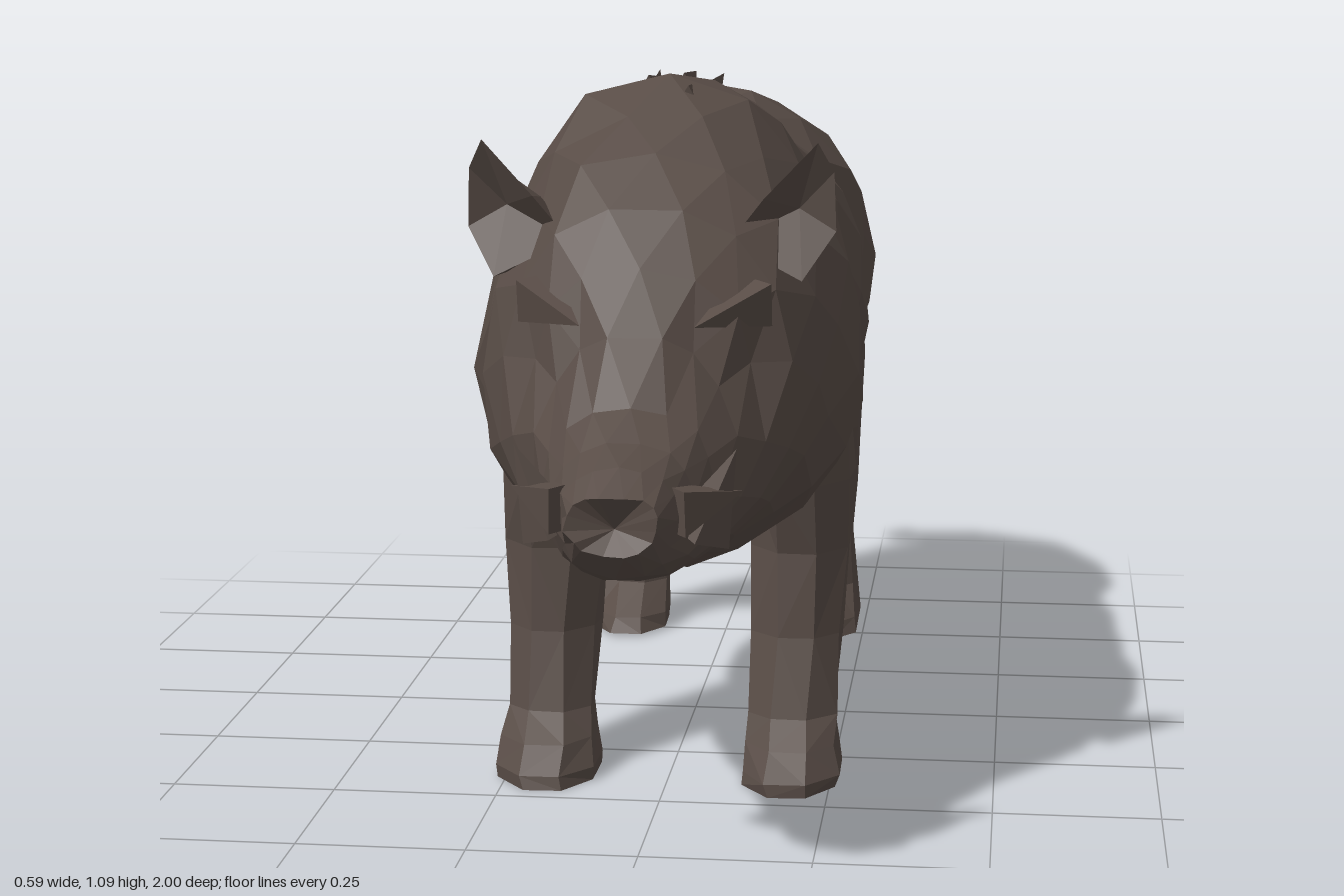
import * as THREE from 'three';

const hide = new THREE.MeshStandardMaterial({ color: 0x584c46 });
hide.name = 'dark brown hide';

let seed = 7;
const rand = () => ((seed = (seed * 16807) % 2147483647) / 2147483647) * 2 - 1;
const V = (x, y, z) => new THREE.Vector3(x, y, z);

// Flat-faceted solid from triangles; winding is turned outward by signed volume
function solid(tris) {
  let volume = 0;
  for (const [a, b, c] of tris) volume += a.dot(b.clone().cross(c));
  const points = tris.flatMap(([a, b, c]) => (volume < 0 ? [a, c, b] : [a, b, c]));
  const geometry = new THREE.BufferGeometry().setFromPoints(points);
  geometry.computeVertexNormals();
  return geometry;
}

// Skin over rings of points, closed at both ends; dent pushes the last cap centre
function loft(rings, dent = V(0, 0, 0)) {
  const tris = [];
  const n = rings[0].length;
  for (let r = 0; r + 1 < rings.length; r++) {
    for (let i = 0; i < n; i++) {
      const j = (i + 1) % n;
      const a = rings[r][i], b = rings[r][j], c = rings[r + 1][j], d = rings[r + 1][i];
      if (r % 2) tris.push([a, b, c], [a, c, d]);
      else tris.push([a, b, d], [b, c, d]);
    }
  }
  const cap = (ring, flip, offset) => {
    const mid = ring.reduce((s, p) => s.add(p), V(0, 0, 0)).divideScalar(n).add(offset);
    ring.forEach((p, i) => {
      const q = ring[(i + 1) % n];
      tris.push(flip ? [mid, q, p] : [mid, p, q]);
    });
  };
  cap(rings[0], true, V(0, 0, 0));
  cap(rings[rings.length - 1], false, dent);
  return solid(tris);
}

function add(parent, name, geometry) {
  const mesh = new THREE.Mesh(geometry, hide);
  mesh.name = name;
  parent.add(mesh);
  return mesh;
}

// Body sections: z, bottom, top, half width, height of widest point
const BODY = [
  [-0.82, 0.68, 0.79, 0.04, 0.74], [-0.77, 0.57, 0.86, 0.095, 0.72],
  [-0.67, 0.49, 0.925, 0.2, 0.71], [-0.57, 0.45, 0.965, 0.245, 0.7],
  [-0.47, 0.42, 0.995, 0.27, 0.7], [-0.37, 0.395, 1.0, 0.26, 0.69],
  [-0.26, 0.365, 0.985, 0.243, 0.67], [-0.15, 0.335, 0.99, 0.262, 0.66],
  [-0.04, 0.315, 1.02, 0.283, 0.65], [0.07, 0.312, 1.042, 0.272, 0.64],
  [0.18, 0.318, 1.06, 0.267, 0.64], [0.28, 0.33, 1.075, 0.283, 0.64],
  [0.38, 0.345, 1.085, 0.29, 0.64], [0.48, 0.355, 1.04, 0.264, 0.65],
  [0.57, 0.39, 0.99, 0.25, 0.66],
];
// Head sections, in the same order of values
const HEAD = [
  [0.64, 0.415, 0.92, 0.212, 0.63], [0.7, 0.42, 0.84, 0.18, 0.6],
  [0.76, 0.42, 0.755, 0.148, 0.57], [0.82, 0.425, 0.665, 0.12, 0.55],
  [0.885, 0.437, 0.63, 0.1, 0.54], [0.95, 0.458, 0.61, 0.078, 0.54],
  [1.0, 0.5, 0.58, 0.063, 0.545],
];

function ringPoint([z, low, high, half, mid], t, power, rough) {
  const soft = (v) => Math.sign(v) * Math.abs(v) ** power;
  const s = soft(Math.sin(t));
  const p = V(half * soft(Math.cos(t)), mid + s * (s > 0 ? high - mid : mid - low), z);
  return p.add(V(rand() * rough, rand() * rough * 0.4, rand() * rough * 1.5));
}

// Every other ring is turned by half a step to make even triangles
function bodyGeometry() {
  const sides = 16;
  const angle = (i, r) => ((i + (r % 2) / 2) / sides) * Math.PI * 2 + Math.PI / 2;
  const rings = [...BODY, ...HEAD].map((section, r) => {
    const inHead = r >= BODY.length;
    const rough = r < 2 ? 0.003 : inHead ? 0.004 : 0.012;
    return Array.from({ length: sides }, (_, i) => {
      const p = ringPoint(section, angle(i, r), inHead ? 0.85 : 1, rough);
      // Hollows for the eyes
      if (p.z > 0.68 && p.z < 0.79 && p.y > 0.66 && p.y < 0.77 && Math.abs(p.x) > 0.07) {
        p.x *= 0.9;
        p.z -= 0.02;
      }
      return p;
    });
  });
  return loft(rings, V(0, -0.01, -0.025));
}

// Leg sections: y, centre x, centre z, half width, half depth
const LEGS = {
  frontLeg: [
    [0.74, 0.16, 0.27, 0.05, 0.08], [0.62, 0.188, 0.26, 0.072, 0.13],
    [0.46, 0.193, 0.25, 0.08, 0.12], [0.35, 0.19, 0.25, 0.077, 0.095],
    [0.22, 0.19, 0.285, 0.07, 0.07], [0.1, 0.188, 0.325, 0.068, 0.062],
    [0.06, 0.188, 0.345, 0.072, 0.085], [0.02, 0.188, 0.36, 0.075, 0.108],
    [0, 0.188, 0.36, 0.073, 0.108],
  ],
  hindLeg: [
    [0.76, 0.12, -0.52, 0.06, 0.09], [0.65, 0.16, -0.535, 0.078, 0.165],
    [0.5, 0.17, -0.55, 0.08, 0.135], [0.38, 0.17, -0.56, 0.07, 0.112],
    [0.26, 0.172, -0.595, 0.057, 0.085], [0.17, 0.175, -0.59, 0.052, 0.068],
    [0.08, 0.175, -0.575, 0.057, 0.06], [0.03, 0.175, -0.535, 0.065, 0.088],
    [0.005, 0.175, -0.525, 0.063, 0.096],
  ],
};

function legGeometry(sections, side) {
  const sides = 8;
  return loft(sections.map(([y, x, z, rx, rz]) =>
    Array.from({ length: sides }, (_, i) => {
      const t = ((i + 0.5) / sides) * Math.PI * 2;
      return V(side * (x + rx * 1.06 * Math.cos(t)) + rand() * 0.005, y, z + rz * 1.06 * Math.sin(t) + rand() * 0.005);
    })));
}

// Cupped ear: a rim with a hollow in front and a bulge behind
function earGeometry(side) {
  const at = ([x, y, z]) => V(side * x, y, z);
  const rim = [
    [0.115, 0.865, 0.6], [0.165, 0.93, 0.62], [0.24, 1.008, 0.605],
    [0.262, 0.965, 0.585], [0.265, 0.88, 0.58], [0.22, 0.815, 0.63],
  ].map(at);
  const bulge = [
    [0.12, 0.86, 0.53], [0.165, 0.92, 0.545], [0.222, 0.965, 0.565],
    [0.245, 0.93, 0.545], [0.235, 0.87, 0.51], [0.21, 0.81, 0.53],
  ].map(at);
  return loft([bulge, rim], V(0, 0, -0.04));
}

// Pointed spike from a base point to a tip
function spike(parent, name, from, to, radius, sides = 4) {
  const dir = to.clone().sub(from);
  const geometry = new THREE.ConeGeometry(radius, dir.length(), sides).toNonIndexed();
  geometry.computeVertexNormals();
  const mesh = add(parent, name, geometry);
  mesh.position.copy(from).add(to).multiplyScalar(0.5);
  mesh.quaternion.setFromUnitVectors(V(0, 1, 0), dir.normalize());
}

export function createModel() {
  const model = new THREE.Group();
  model.name = 'boar';
  add(model, 'bodyAndHead', bodyGeometry());

  for (const [side, label] of [[1, 'left'], [-1, 'right']]) {
    for (const [leg, sections] of Object.entries(LEGS)) {
      add(model, `${label} ${leg}`, legGeometry(sections, side));
    }
    add(model, `${label} ear`, earGeometry(side));
    spike(model, `${label} tusk`, V(side * 0.1, 0.5, 0.865), V(side * 0.152, 0.622, 0.87), 0.045);
    spike(model, `${label} lip`, V(side * 0.07, 0.55, 0.93), V(side * 0.16, 0.56, 0.85), 0.045);
    spike(model, `${label} brow`, V(side * 0.155, 0.79, 0.645), V(side * 0.08, 0.765, 0.745), 0.045);
  }

  // Bristles lying back along the withers
  for (const [x, z, y] of [[0.035, 0.42, 1.05], [-0.03, 0.36, 1.06], [0.05, 0.29, 1.045], [-0.04, 0.23, 1.04], [0.01, 0.25, 1.055]]) {
    spike(model, 'bristle', V(x, y, z), V(x * 1.2, 1.068, z - 0.15), 0.022, 3);
  }

  // Hanging tail with a tuft: y, z, half width, half thickness
  const tail = [
    [0.8, -0.77, 0.045, 0.05], [0.74, -0.82, 0.032, 0.042], [0.66, -0.865, 0.052, 0.04],
    [0.58, -0.92, 0.062, 0.04], [0.52, -0.965, 0.045, 0.035], [0.5, -0.98, 0.03, 0.025],
  ];
  add(model, 'tail', loft(tail.map(([y, z, w, t]) =>
    Array.from({ length: 6 }, (_, i) => {
      const a = (i / 6) * Math.PI * 2;
      return V(w * Math.cos(a), y + t * 0.64 * Math.sin(a), z - t * 0.77 * Math.sin(a));
    }))));
  return model;
}
